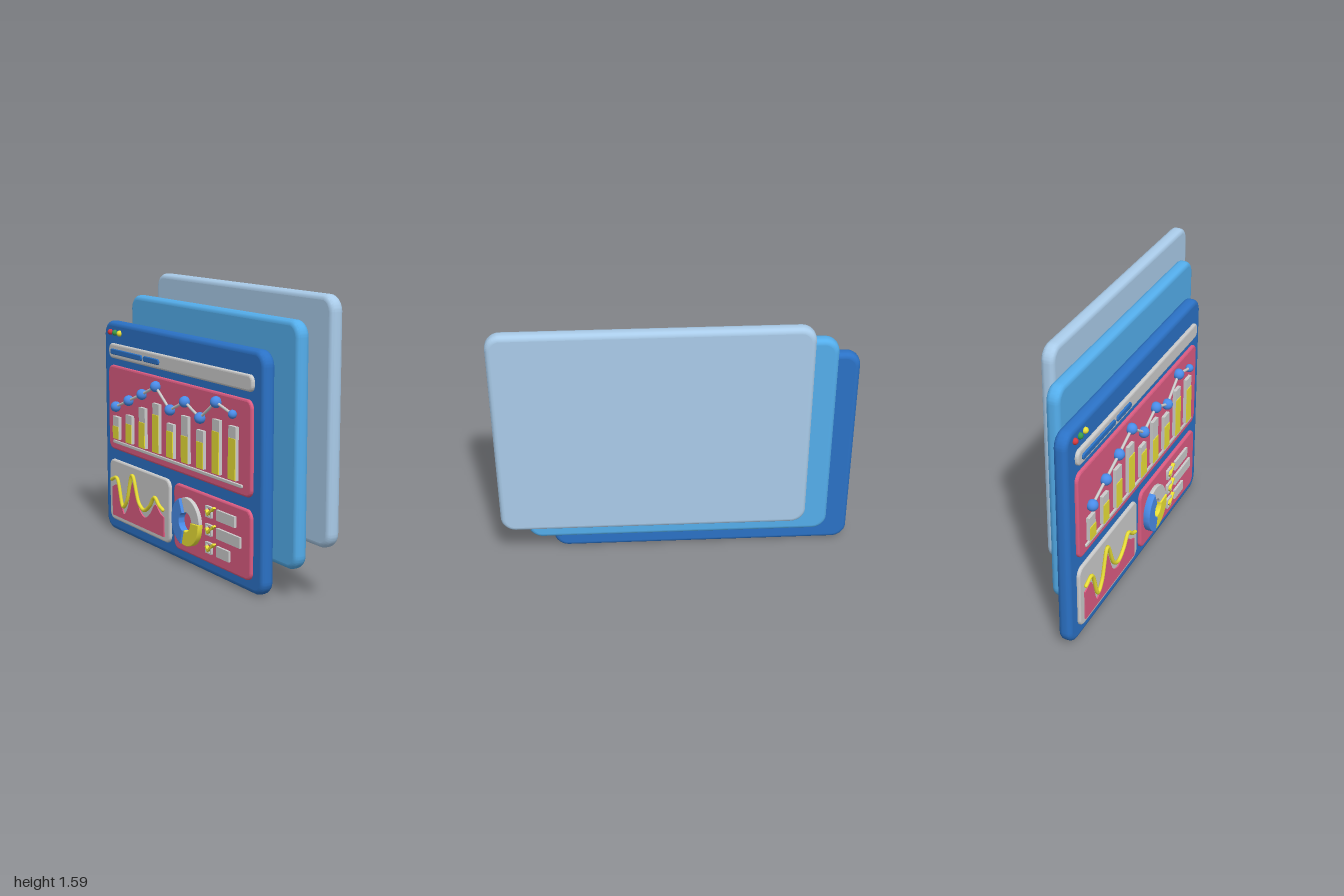
import * as THREE from 'three';
import { toCreasedNormals } from 'three/addons/utils/BufferGeometryUtils.js';

const GREY = 0xcccccc, NAVY = 0x2b72c6, SKY = 0x54aeec, PALE = 0xaaccea;
const PINK = 0xdc5c82, YELLOW = 0xeae038, BLUE = 0x4a8ce8;
const TILT = 0.34;

function add(parent, name, color, geometry, x = 0, y = 0, z = 0) {
  const mesh = new THREE.Mesh(geometry, new THREE.MeshStandardMaterial({ color }));
  mesh.name = name;
  mesh.position.set(x, y, z);
  parent.add(mesh);
  return mesh;
}

// Extrude a shape from z0 to z1 with rounded rims; the caps stay flat-shaded.
function slab(shape, z0, z1, bevel) {
  const raw = new THREE.ExtrudeGeometry(shape, {
    depth: z1 - z0 - 2 * bevel, bevelEnabled: bevel > 0, bevelSize: bevel,
    bevelThickness: bevel, bevelOffset: -bevel, bevelSegments: 4, curveSegments: 10,
  });
  const caps = raw.groups[0];
  const geo = toCreasedNormals(raw, 0.6);
  const pos = geo.attributes.position, normal = geo.attributes.normal;
  const middle = (z1 - z0) / 2 - bevel;
  for (let i = caps.start; i < caps.start + caps.count; i++) {
    normal.setXYZ(i, 0, 0, pos.getZ(i) > middle ? 1 : -1);
  }
  return geo.translate(0, 0, z0 + bevel);
}

function roundedRect(x0, x1, y0, y1, r) {
  const s = new THREE.Shape();
  s.absarc(x1 - r, y0 + r, r, -Math.PI / 2, 0);
  s.absarc(x1 - r, y1 - r, r, 0, Math.PI / 2);
  s.absarc(x0 + r, y1 - r, r, Math.PI / 2, Math.PI);
  s.absarc(x0 + r, y0 + r, r, Math.PI, Math.PI * 1.5);
  s.closePath();
  return s;
}

function plate(parent, name, color, [x0, x1, y0, y1], r, z0, z1, bevel) {
  return add(parent, name, color, slab(roundedRect(x0, x1, y0, y1, r), z0, z1, bevel));
}

function box(parent, name, color, [x0, x1, y0, y1], z0, z1) {
  return add(parent, name, color, new THREE.BoxGeometry(x1 - x0, y1 - y0, z1 - z0),
    (x0 + x1) / 2, (y0 + y1) / 2, (z0 + z1) / 2);
}

function rod(parent, name, color, a, b, radius) {
  const d = b.clone().sub(a), mid = a.clone().add(b).multiplyScalar(0.5);
  const mesh = add(parent, name, color, new THREE.CylinderGeometry(radius, radius, d.length(), 10), ...mid);
  mesh.quaternion.setFromUnitVectors(new THREE.Vector3(0, 1, 0), d.normalize());
}

// Bar chart with a line of round markers above it
function barChart(parent) {
  const g = new THREE.Group();
  g.name = 'barChart';
  parent.add(g);
  plate(g, 'chartCard', PINK, [-0.788, 0.782, 0.524, 1.043], 0.05, 0.03, 0.056, 0.012);
  plate(g, 'chartBaseline', GREY, [-0.72, 0.709, 0.568, 0.586], 0.008, 0.05, 0.066, 0.003);
  const tops = [0.738, 0.77, 0.84, 0.888, 0.797, 0.866, 0.813, 0.898, 0.888];
  const fills = [0.679, 0.717, 0.754, 0.824, 0.754, 0.754, 0.749, 0.834, 0.824];
  const line = [0.8, 0.86, 0.92, 0.988, 0.877, 0.947, 0.882, 0.993, 0.952];
  const points = line.map((y, i) => new THREE.Vector3(-0.661 + i * 0.1616, y, 0.074));
  tops.forEach((top, i) => {
    const x = -0.663 + i * 0.1616;
    box(g, 'bar', GREY, [x - 0.036, x + 0.036, 0.6, top], 0.05, 0.075);
    box(g, 'barFill', YELLOW, [x - 0.034, x + 0.034, 0.602, fills[i]], 0.06, 0.079);
    const last = i === tops.length - 1;
    add(g, 'lineMarker', BLUE, new THREE.SphereGeometry(last ? 0.024 : 0.032, 20, 14), ...points[i]);
    if (!last) rod(g, 'lineSegment', GREY, points[i], points[i + 1], 0.008);
  });
}

// Wavy curve over a filled area
function waveChart(parent) {
  const g = new THREE.Group();
  g.name = 'waveChart';
  parent.add(g);
  plate(g, 'waveCard', GREY, [-0.788, -0.057, 0.08, 0.46], 0.05, 0.03, 0.056, 0.012);
  const pts = [[-0.739, 0.335], [-0.67, 0.355], [-0.597, 0.19], [-0.548, 0.235], [-0.476, 0.41], [-0.397, 0.255],
    [-0.335, 0.225], [-0.268, 0.265], [-0.208, 0.33], [-0.153, 0.29], [-0.113, 0.275]];
  const curve = new THREE.CatmullRomCurve3(pts.map(([x, y]) => new THREE.Vector3(x, y, 0.068)));
  add(g, 'waveLine', YELLOW, new THREE.TubeGeometry(curve, 90, 0.011, 8));
  for (const p of [0, 1]) add(g, 'waveLineEnd', YELLOW, new THREE.SphereGeometry(0.011, 10, 8), ...curve.getPoint(p));
  const area = new THREE.Shape();
  area.moveTo(-0.739, 0.112);
  area.lineTo(-0.113, 0.112);
  curve.getPoints(70).reverse().forEach((p) => area.lineTo(p.x, p.y - 0.045));
  area.closePath();
  add(g, 'waveArea', PINK, slab(area, 0.05, 0.064, 0));
}

// Ring chart and check list
function summary(parent) {
  const g = new THREE.Group();
  g.name = 'summary';
  parent.add(g);
  plate(g, 'summaryCard', PINK, [-0.011, 0.782, 0.075, 0.46], 0.05, 0.03, 0.056, 0.012);
  const slices = [[5, 113, GREY, 0.078], [113, 254, BLUE, 0.094], [254, 365, YELLOW, 0.086]];
  for (const [from, to, color, top] of slices) {
    const a = THREE.MathUtils.degToRad(from), b = THREE.MathUtils.degToRad(to);
    const s = new THREE.Shape();
    s.absarc(0, 0, 0.138, a, b, false);
    s.absarc(0, 0, 0.053, b, a, true);
    s.closePath();
    add(g, 'ringSlice', color, slab(s, 0.05, top, 0.004), 0.164, 0.267, 0);
  }
  [[0.372, 0.646], [0.27, 0.697], [0.168, 0.59]].forEach(([y, end]) => {
    box(g, 'listBar', GREY, [0.465, end, y - 0.03, y + 0.03], 0.05, 0.07);
    const frame = roundedRect(-0.032, 0.032, -0.032, 0.032, 0.003);
    frame.holes.push(roundedRect(-0.022, 0.022, -0.022, 0.022, 0.002));
    add(g, 'checkBox', GREY, slab(frame, 0.05, 0.07, 0), 0.383, y, 0);
    const tick = new THREE.Shape([[-0.026, 0.004], [-0.004, -0.023], [0.062, 0.03], [0.054, 0.039],
      [-0.002, -0.006], [-0.017, 0.011]].map(([px, py]) => new THREE.Vector2(px, py)));
    add(g, 'checkMark', YELLOW, slab(tick, 0.055, 0.076, 0), 0.383, y, 0);
  });
}

export function createModel() {
  const model = new THREE.Group();
  model.name = 'dashboardWindows';

  // Three tilted windows, one behind the other
  const windows = [['frontWindow', NAVY, -0.17, 0.005, 0.05], ['middleWindow', SKY, 0, 0.165, -0.005],
    ['backWindow', PALE, 0.168, 0.3, -0.05]].map(([name, color, x, y, z]) => {
    const g = new THREE.Group();
    g.name = name;
    g.position.set(x, y, z);
    g.rotation.y = -TILT;
    plate(g, name + 'Panel', color, [-0.87, 0.87, 0, 1.3], 0.085, -0.038, 0.038, 0.028);
    model.add(g);
    return g;
  });

  const front = new THREE.Group();
  front.name = 'frontContents';
  front.position.y = -0.005;
  windows[0].add(front);

  // Title bar buttons and address bar
  [0xd83a40, 0x3a9a4a, YELLOW].forEach((color, i) => {
    add(front, 'windowButton', color, new THREE.SphereGeometry(0.018, 16, 12), -0.777 + i * 0.057, 1.24, 0.042);
  });
  plate(front, 'addressBar', GREY, [-0.777, 0.788, 1.085, 1.175], 0.036, 0.03, 0.058, 0.012);
  plate(front, 'addressPill', NAVY, [-0.737, -0.357, 1.112, 1.145], 0.014, 0.05, 0.068, 0.005);
  plate(front, 'addressPill', NAVY, [-0.335, -0.159, 1.112, 1.145], 0.014, 0.05, 0.068, 0.005);

  barChart(front);
  waveChart(front);
  summary(front);
  return model;
}
